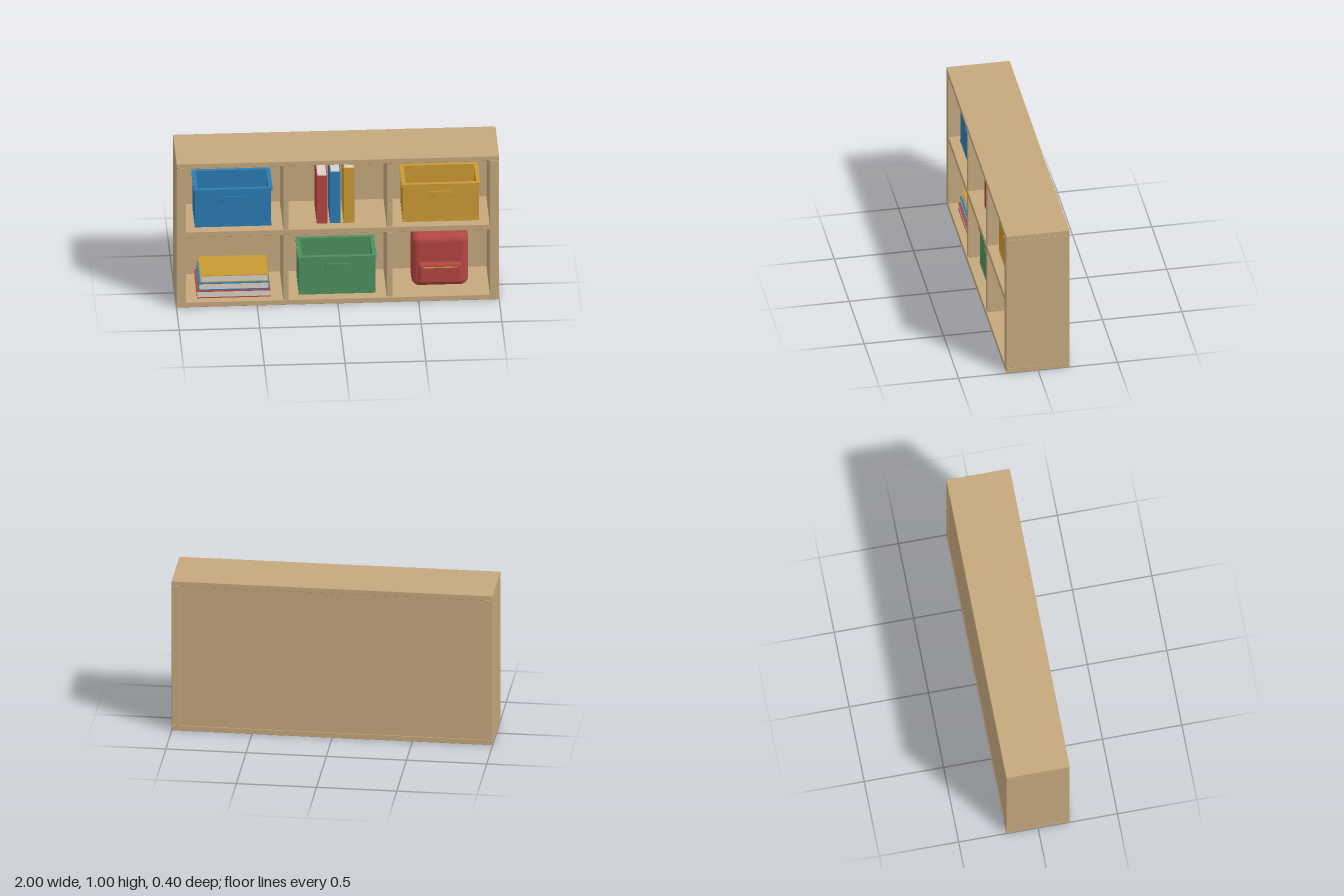
import * as THREE from 'three';
import { RoundedBoxGeometry } from 'three/addons/geometries/RoundedBoxGeometry.js';

const paint = (name, color) => {
  const m = new THREE.MeshStandardMaterial({ color });
  m.name = name;
  return m;
};

export function createModel() {
  const wood = paint('light wood', 0xc4a77d);
  const blue = paint('blue', 0x2b7bb3);
  const yellow = paint('mustard yellow', 0xc99a33);
  const red = paint('red', 0xb34541);
  const green = paint('green', 0x4d8f60);
  const paper = paint('paper', 0xd8d2c6);

  const root = new THREE.Group();
  root.name = 'bookcase';

  const add = (parent, name, geometry, material, x = 0, y = 0, z = 0) => {
    const mesh = new THREE.Mesh(geometry, material);
    mesh.name = name;
    mesh.position.set(x, y, z);
    parent.add(mesh);
    return mesh;
  };
  // box given by its limits; r rounds the edges
  const block = (parent, name, material, [x0, x1], [y0, y1], [z0, z1], r = 0) => {
    const s = [x1 - x0, y1 - y0, z1 - z0];
    const g = r ? new RoundedBoxGeometry(...s, r > 0.01 ? 5 : 1, r) : new THREE.BoxGeometry(...s);
    return add(parent, name, g, material, (x0 + x1) / 2, (y0 + y1) / 2, (z0 + z1) / 2);
  };
  const group = (name, x = 0, y = 0, z = 0) => {
    const g = new THREE.Group();
    g.name = name;
    g.position.set(x, y, z);
    root.add(g);
    return g;
  };

  // Carcass
  const full = [-0.2, 0.2], edge = 0.003;
  block(root, 'topBoard', wood, [-1, 1], [0.968, 1], full, edge);
  block(root, 'bottomBoard', wood, [-1, 1], [0, 0.035], full, edge);
  block(root, 'middleShelf', wood, [-0.942, 0.942], [0.486, 0.523], [-0.19, 0.197], edge);
  block(root, 'backPanel', wood, [-0.942, 0.942], [0.035, 0.968], [-0.197, -0.182]);
  for (const s of [-1, 1]) {
    const side = s < 0 ? 'right' : 'left';
    const span = (a, b) => (s < 0 ? [-b, -a] : [a, b]);
    block(root, side + 'Side', wood, span(0.942, 1), [0.035, 0.968], full, edge);
    for (const [label, y] of [['Lower', [0.035, 0.486]], ['Upper', [0.523, 0.968]]]) {
      block(root, side + label + 'Divider', wood, span(0.304, 0.338), y, [-0.19, 0.195], edge);
    }
  }

  // Open storage bins
  const rect = (path, w, d) => {
    path.moveTo(-w / 2, -d / 2);
    path.lineTo(w / 2, -d / 2);
    path.lineTo(w / 2, d / 2);
    path.lineTo(-w / 2, d / 2);
    path.closePath();
    return path;
  };
  const frame = (w, d, t, h) => {
    const shape = rect(new THREE.Shape(), w, d);
    shape.holes.push(rect(new THREE.Path(), w - 2 * t, d - 2 * t));
    return new THREE.ExtrudeGeometry(shape, { depth: h, bevelEnabled: false }).rotateX(-Math.PI / 2);
  };
  const bin = (name, material, x, y) => {
    const g = group(name, x, y, 0);
    add(g, 'binWalls', frame(0.472, 0.265, 0.016, 0.25), material);
    block(g, 'binFloor', material, [-0.235, 0.235], [0.001, 0.016], [-0.131, 0.131]);
    add(g, 'binRim', frame(0.488, 0.281, 0.026, 0.015), material, 0, 0.247, 0);
    add(g, 'binFoot', frame(0.476, 0.269, 0.01, 0.012), material);
    for (const z of [-0.135, 0.135]) {
      block(g, 'binGrip', material, [-0.075, 0.075], [0.175, 0.211], [z - 0.004, z + 0.004], 0.003);
    }
  };
  bin('blueBin', blue, -0.645, 0.523);
  bin('yellowBin', yellow, 0.643, 0.523);
  bin('greenBin', green, 0, 0.035);

  // Books: two covers, a spine and a page block; local z runs from fore edge (-) to spine (+)
  const book = (name, material, thick, height, depth, x, y, z) => {
    const g = group(name, x, y, z);
    const t = thick / 2, h = height / 2, d = depth / 2, c = 0.005;
    block(g, 'frontCover', material, [t - c, t], [-h, h], [-d, d]);
    block(g, 'backCover', material, [-t, -t + c], [-h, h], [-d, d]);
    block(g, 'spine', material, [-t + c, t - c], [-h, h], [d - c, d]);
    block(g, 'pages', paper, [-t + c, t - c], [-h + 0.004, h - 0.004], [-d + 0.004, d - c]);
    return g;
  };
  [[red, 'red', -0.093, 0.332], [blue, 'blue', -0.011, 0.357], [yellow, 'yellow', 0.074, 0.382]]
    .forEach(([m, label, x, h]) => book(label + 'StandingBook', m, 0.066, h, 0.25, x, 0.523 + h / 2, 0));

  // Flat stack, fore edges to the front
  [[red, 'red', 0.455, 0.30], [blue, 'blue', 0.437, 0.28], [yellow, 'yellow', 0.42, 0.26]]
    .forEach(([m, label, length, depth], i) => {
      const b = book(label + 'LyingBook', m, 0.048, length, depth, -0.642 + i * 0.003, 0.06 + i * 0.049, 0);
      b.rotation.set(0, Math.PI, Math.PI / 2);
    });

  // Backpack
  const pack = group('backpack', 0.64, 0.038, 0);
  block(pack, 'packBody', red, [-0.176, 0.176], [0, 0.36], [-0.09, 0.09], 0.05);
  block(pack, 'frontPocket', red, [-0.136, 0.136], [0.037, 0.178], [0.05, 0.118], 0.02);
  block(pack, 'pocketZip', yellow, [-0.11, 0.11], [0.15, 0.157], [0.114, 0.121]);
  const loop = new THREE.CatmullRomCurve3(
    [[-0.046, 0.35], [-0.044, 0.378], [-0.024, 0.391], [0.024, 0.391], [0.044, 0.378], [0.046, 0.35]]
      .map(([x, y]) => new THREE.Vector3(x, y, 0)));
  add(pack, 'carryHandle', new THREE.TubeGeometry(loop, 24, 0.007, 8), blue);

  return root;
}
